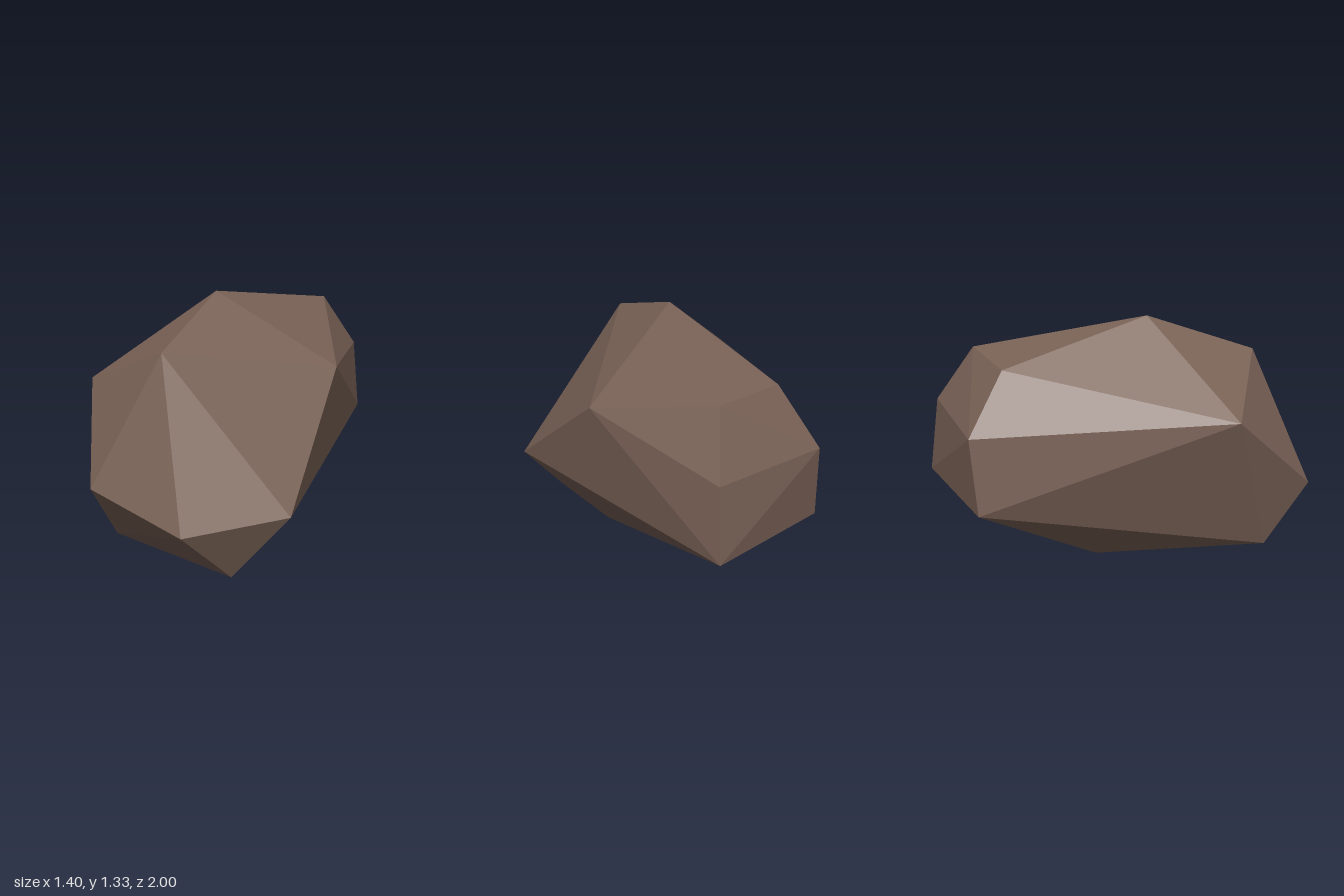
import * as THREE from 'three';
import { ConvexGeometry } from 'three/addons/geometries/ConvexGeometry.js';

// Corners of the faceted boulder, grouped by region
const corners = [
  // back end
  [-0.12, 0.46, -1.0], [-0.12, 0.85, -0.95], [-0.16, 1.15, -0.73],
  // right flank
  [-0.5, 1.12, -0.48], [-0.69, 0.82, -0.6], [-0.7, 0.43, -0.56], [-0.45, 0.9, 0.68],
  // crown and left flank
  [0.11, 1.14, 0.68], [-0.08, 1.33, 0.16], [0.39, 0.95, -0.24], [0.7, 0.4, 0.4],
  // front end
  [0.51, 0.39, 0.92], [-0.06, 0.49, 1.0], [-0.14, 0.17, 0.79],
  // underside
  [0.49, 0.08, 0.59], [0.25, 0, 0.28], [-0.31, 0.12, -0.06],
];

export function createModel() {
  const stone = new THREE.MeshStandardMaterial({ color: 0x7a6256 });
  stone.name = 'brownStone';

  // The hull has one normal per face, so the facets stay crisp
  const boulder = new THREE.Mesh(
    new ConvexGeometry(corners.map((c) => new THREE.Vector3(...c))),
    stone,
  );
  boulder.name = 'boulder';

  const group = new THREE.Group();
  group.name = 'rock';
  group.add(boulder);
  return group;
}
